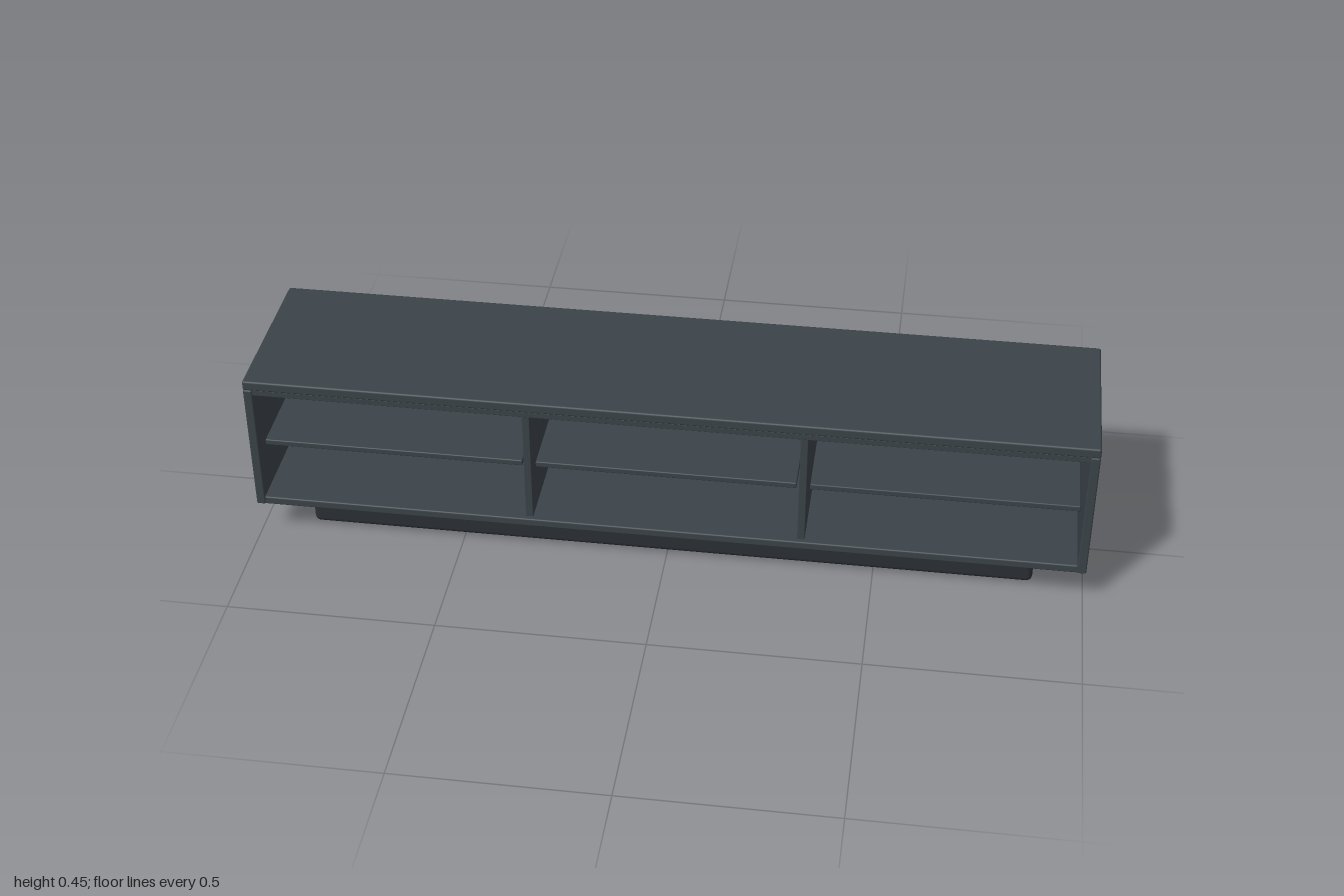
import * as THREE from 'three';
import { RoundedBoxGeometry } from 'three/addons/geometries/RoundedBoxGeometry.js';

const material = (color) => new THREE.MeshStandardMaterial({ color });

export function createModel() {
  const group = new THREE.Group();
  const shell = material(0x3b4349);
  const dark = material(0x2b3036);

  // Rounded board given by its limits on each axis
  function board(name, [x0, x1], [y0, y1], [z0, z1], radius, mat = shell) {
    const geometry = new RoundedBoxGeometry(x1 - x0, y1 - y0, z1 - z0, 3, radius);
    const mesh = new THREE.Mesh(geometry, mat);
    mesh.position.set((x0 + x1) / 2, (y0 + y1) / 2, (z0 + z1) / 2);
    mesh.name = name;
    group.add(mesh);
  }

  const depth = [-0.207, 0.215];
  const wall = 0.022;

  // Outer case
  board('topPanel', [-1, 1], [0.425, 0.45], depth, 0.005);
  board('topRail', [-0.98, 0.98], [0.41, 0.426], [-0.203, 0.212], 0.002);
  board('bottomPanel', [-0.98, 0.98], [0.091, 0.112], [-0.205, 0.213], 0.004);
  for (const s of [-1, 1]) {
    const edges = [s, s * (1 - wall)].sort((a, b) => a - b);
    board(s > 0 ? 'leftSide' : 'rightSide', edges, [0.091, 0.425], depth, 0.004);
  }
  board('backPanel', [-0.98, 0.98], [0.11, 0.412], [-0.2, -0.186], 0.002);

  // Upright dividers
  const dividers = [-0.327, 0.327];
  for (const x of dividers) {
    board('divider', [x - 0.009, x + 0.009], [0.11, 0.412], [-0.188, 0.2], 0.002);
  }

  // One shelf in each bay, with a small gap at both ends
  const bays = [[-0.978, -0.336], [-0.318, 0.318], [0.336, 0.978]];
  for (const [a, b] of bays) {
    board('shelf', [a + 0.007, b - 0.007], [0.247, 0.262], [-0.188, 0.182], 0.003);
  }

  // Recessed plinth and rear cable cover
  board('plinth', [-0.88, 0.88], [0, 0.09], [-0.168, 0.152], 0.015, dark);
  board('cableCover', [-0.031, 0.031], [0.262, 0.298], [-0.214, -0.209], 0.002, dark);

  return group;
}
